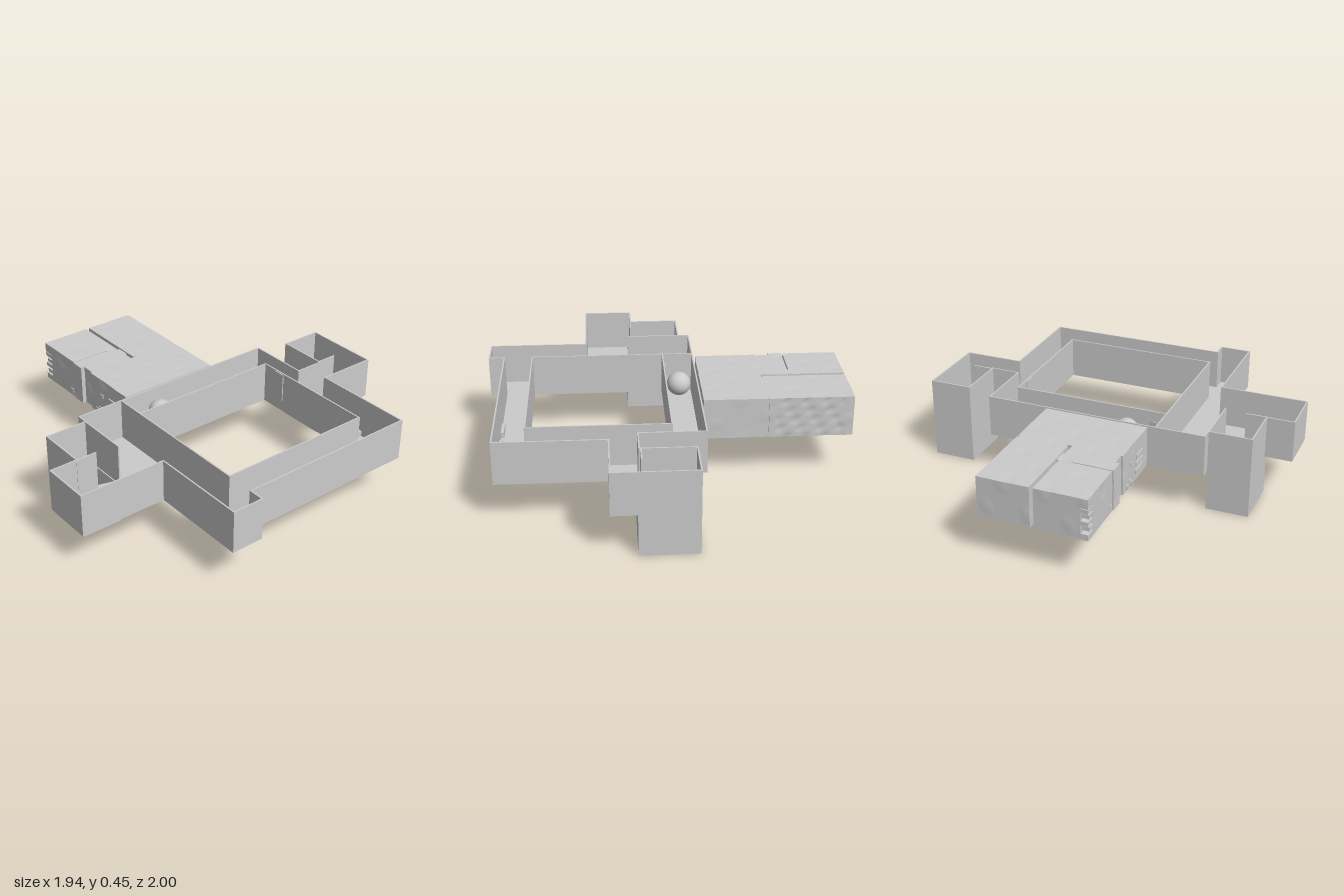
import * as THREE from 'three';

const T = 0.008;                       // wall thickness
const FLOOR = 0.223, TOP = 0.454;

// Corridor outline and courtyard as [x, z] corners
const OUTLINE = [
  [-0.17, -0.61], [0.17, -0.61], [0.17, -0.763], [-0.11, -0.763], [-0.11, -1], [0.322, -1],
  [0.322, -0.672], [0.888, -0.672], [0.888, 0.345], [0.97, 0.345], [0.97, 0.522], [0.433, 0.522],
  [0.433, 1], [0.16, 1], [0.16, 0.85], [-0.11, 0.85], [-0.11, 0.618], [-0.17, 0.618],
];
const rect = (x0, x1, z0, z1) => [[x0, z0], [x1, z0], [x1, z1], [x0, z1]];
const COURT = rect(0.004, 0.725, -0.512, 0.345);

// Moves every edge of a right-angled outline inwards by d
function inset(points, d) {
  const n = points.length;
  const normal = (a, b) => {
    const dx = b[0] - a[0], dz = b[1] - a[1], l = Math.hypot(dx, dz);
    return [-dz / l, dx / l];
  };
  return points.map((p, i) => {
    const a = normal(points[(i + n - 1) % n], p), b = normal(p, points[(i + 1) % n]);
    return [p[0] + d * (a[0] + b[0]), p[1] + d * (a[1] + b[1])];
  });
}

export function createModel() {
  const model = new THREE.Group();
  const material = new THREE.MeshStandardMaterial({ color: 0xcccccc });

  function add(name, geometry, parent = model) {
    const mesh = new THREE.Mesh(geometry, material);
    mesh.name = name;
    parent.add(mesh);
    return mesh;
  }
  function group(name) {
    const g = new THREE.Group();
    g.name = name;
    model.add(g);
    return g;
  }
  function box(name, x0, x1, y0, y1, z0, z1, parent) {
    const g = new THREE.BoxGeometry(x1 - x0, y1 - y0, z1 - z0);
    g.translate((x0 + x1) / 2, (y0 + y1) / 2, (z0 + z1) / 2);
    return add(name, g, parent);
  }
  // Flat plan with holes, raised from y0 to y1 (corners reversed so all sides face outwards)
  function plan(name, outer, holes, y0, y1, parent) {
    const vectors = (pts) => pts.map(([x, z]) => new THREE.Vector2(x, -z)).reverse();
    const shape = new THREE.Shape(vectors(outer));
    holes.forEach((h) => shape.holes.push(new THREE.Path(vectors(h).reverse())));
    const g = new THREE.ExtrudeGeometry(shape, { depth: y1 - y0, bevelEnabled: false });
    g.rotateX(-Math.PI / 2);
    g.translate(0, y0, 0);
    return add(name, g, parent);
  }

  // Corridor floor and walls
  const wells = [[-1, -0.763], [0.618, 0.85]];
  const wellHoles = wells.map(([a, b]) => rect(-0.11 + T, 0.158, a + T, b - T));
  plan('corridorFloor', OUTLINE, [COURT, ...wellHoles], FLOOR, FLOOR + 0.006);
  plan('outerWall', OUTLINE, [inset(OUTLINE, T)], FLOOR, TOP);
  plan('courtyardWall', inset(COURT, -T), [COURT], FLOOR, TOP);
  box('stairSideWall', -0.11, 0.19, FLOOR, TOP, 0.612, 0.62);
  box('crossWall', -0.17, 0, FLOOR, TOP, 0.345, 0.353);

  // Stairwells: two flights around a landing, with a screen wall at the lower flight
  wells.forEach(([z0, z1], k) => {
    const stairs = group(k ? 'frontStairwell' : 'backStairwell');
    const mid = (z0 + z1) / 2, steps = 10, run = 0.162 / steps, rise = FLOOR / 2 / steps;
    const well = rect(-0.11, 0.19, z0, z1);
    plan('wellWall', well, [inset(well, T)], 0, FLOOR, stairs);
    plan('wellFloor', well, [], 0, 0.006, stairs);
    box('landing', -0.105, 0, 0.003, FLOOR / 2, z0 + 0.004, z1 - 0.004, stairs);
    for (let i = 0; i < steps; i++) {
      const x = i * run;
      box('upperStep', x, x + run, 0.003, FLOOR / 2 + (i + 1) * rise, z0 + 0.004, mid, stairs);
      box('lowerStep', x, x + run, 0.003, FLOOR / 2 - i * rise, mid, z1 - 0.004, stairs);
    }
    box('screenWall', 0.162, 0.17, FLOOR, TOP, mid, z1, stairs);
  });

  // Door leaf ajar beside the cross wall
  const leaf = add('doorLeaf', new THREE.BoxGeometry(0.004, 0.17, 0.097));
  leaf.position.set(-0.012, FLOOR + 0.087, 0.302);
  leaf.rotation.y = -0.2;

  // Low panels along the corridor walls and a shallow one in the courtyard
  const panels = group('wallPanels');
  [[0.51, 0.622], [0.757, 0.865]].forEach(([a, b]) =>
    box('backPanel', a, b, FLOOR, 0.26, -0.667, -0.642, panels));
  [[-0.38, -0.27], [-0.19, -0.08]].forEach(([a, b]) =>
    box('sidePanel', 0.863, 0.883, FLOOR, 0.26, a, b, panels));
  box('courtyardPanel', 0.09, 0.155, 0.29, 0.45, -0.515, -0.506, panels);

  // Ball in the west corridor
  add('ball', new THREE.SphereGeometry(0.065, 40, 24)).position.set(-0.08, 0.36, 0.155);

  // Weathered block: boxes with a finely uneven surface
  const ruin = group('weatheredBlock');
  const Y0 = 0.23, Y1 = 0.453;
  function rough(name, x0, x1, z0, z1, y0 = Y0, y1 = Y1) {
    const seg = (l) => Math.max(1, Math.ceil(l / 0.01));
    const g = new THREE.BoxGeometry(x1 - x0, y1 - y0, z1 - z0, seg(x1 - x0), seg(y1 - y0), seg(z1 - z0));
    g.translate((x0 + x1) / 2, (y0 + y1) / 2, (z0 + z1) / 2);
    const p = g.attributes.position;
    // sparse soft lumps
    const lump = (a, b) => Math.max(0, Math.sin(a * 23 + 1) * Math.sin(b * 29 + a * 5) - 0.4) * 0.003;
    for (let i = 0; i < p.count; i++) {
      const x = p.getX(i), y = p.getY(i), z = p.getZ(i);
      // rounded dimples on the rear face
      const dimple = z < -0.26 && x < -0.56 && x > -0.92
        ? 0.004 * Math.max(0, Math.sin(x * 60 + y * 30) * Math.sin(y * 62)) : 0;
      p.setXYZ(i, x - lump(y, z), y - lump(x, z), z - lump(x, y) + dimple);
    }
    g.computeVertexNormals();
    return add(name, g, ruin);
  }
  rough('core', -0.515, -0.18, -0.262, 0.31);
  rough('rearWing', -0.97, -0.525, -0.264, 0.017);
  rough('rearGrooveFill', -0.525, -0.515, -0.255, 0.01);
  rough('frontWingEnd', -0.97, -0.91, 0.037, 0.28);
  rough('frontWing', -0.91, -0.675, 0.037, 0.318);
  rough('slitFill', -0.675, -0.668, 0.037, 0.1);
  rough('slitBase', -0.675, -0.668, 0.1, 0.3, Y0, 0.425);
  rough('pilaster', -0.668, -0.59, 0.037, 0.323);
  rough('recessedBay', -0.59, -0.515, 0.037, 0.3);
  rough('slotBridge', -0.66, -0.59, 0.015, 0.039, Y0, 0.445);

  // Broken comb of teeth on the outer corner
  rough('cornerTop', -0.97, -0.91, 0.28, 0.318, 0.4, Y1);
  rough('cornerBase', -0.97, -0.91, 0.28, 0.318, Y0, 0.262);
  [0.275, 0.308, 0.341, 0.374].forEach((y, i) =>
    rough('cornerTooth', -0.955 - (i % 2) * 0.015, -0.91, 0.28, 0.318, y, y + 0.022));

  // Vent slats and broken fragments on the front
  [[0.27, -0.355], [0.308, -0.345], [0.35, -0.34]].forEach(([y, x]) =>
    box('ventSlat', x, -0.255, y, y + 0.02, 0.305, 0.317, ruin));
  [[-0.46, 0.245], [-0.43, 0.262], [-0.4, 0.24], [-0.41, 0.35], [-0.7, 0.26]].forEach(([x, y]) =>
    box('fragment', x - 0.012, x + 0.012, y - 0.01, y + 0.014, 0.3, x < -0.6 ? 0.322 : 0.315, ruin));
  return model;
}
